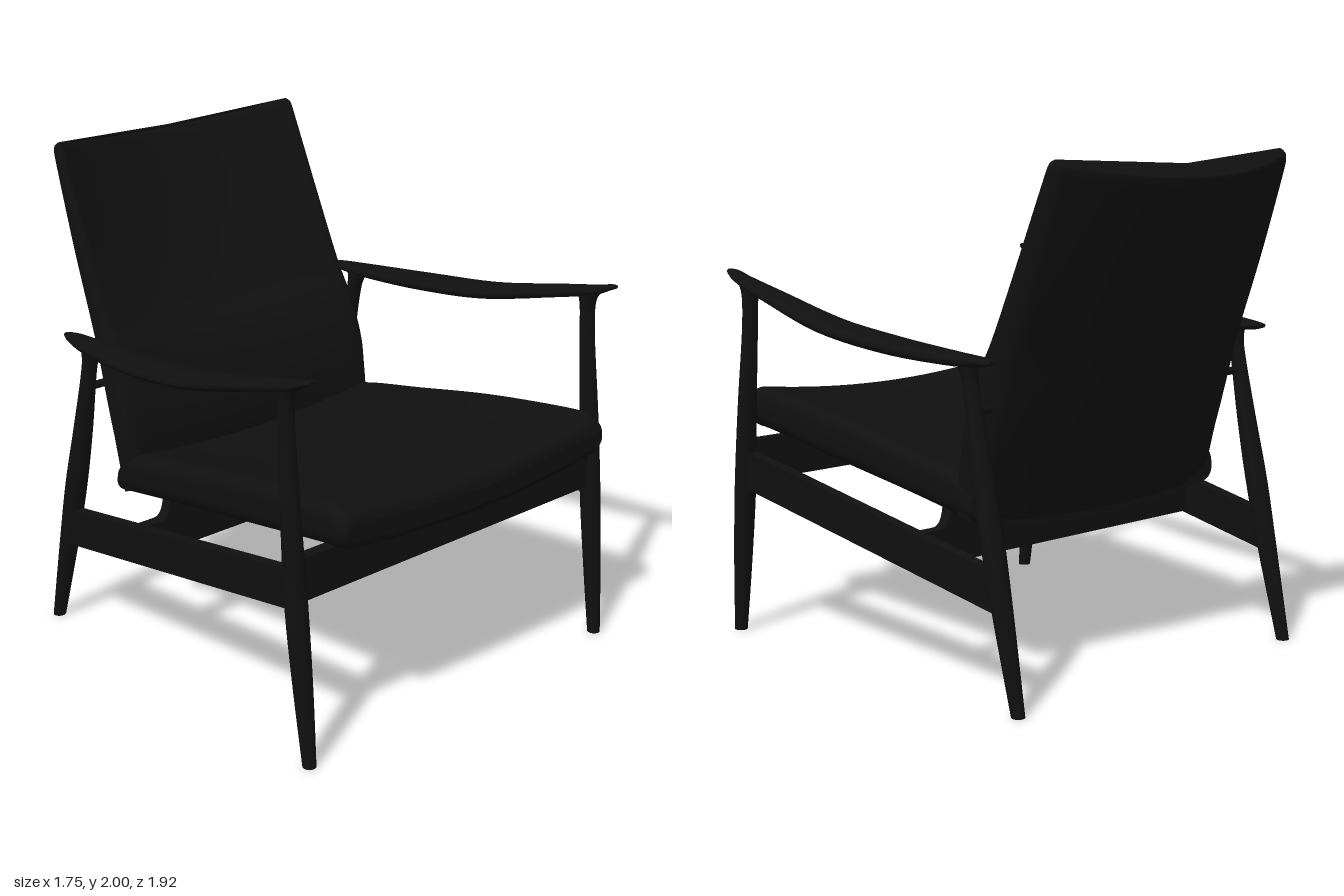
import * as THREE from 'three';

const material = new THREE.MeshStandardMaterial({ color: 0x101010 });

// Smoothly resample rows of numbers (Catmull-Rom on every column)
function smoothRows(rows, steps) {
  const out = [];
  const at = i => rows[Math.min(rows.length - 1, Math.max(0, i))];
  for (let i = 0; i < rows.length - 1; i++) {
    for (let s = 0; s < steps; s++) {
      const t = s / steps;
      out.push(rows[i].map((_, k) => {
        const [a, b, c, d] = [at(i - 1)[k], at(i)[k], at(i + 1)[k], at(i + 2)[k]];
        return b + 0.5 * t * (c - a + t * (2 * a - 5 * b + 4 * c - d + t * (3 * (b - c) + d - a)));
      }));
    }
  }
  out.push(rows[rows.length - 1]);
  return out;
}

// Skin a list of rings of [x, y, z] and close both ends with flat caps
function loft(rings) {
  const n = rings[0].length, pos = [], idx = [];
  rings.forEach(r => r.forEach(p => pos.push(...p)));
  for (let i = 0; i < rings.length - 1; i++) {
    for (let j = 0; j < n; j++) {
      const a = i * n + j, b = i * n + (j + 1) % n;
      idx.push(a, b, a + n, b, b + n, a + n);
    }
  }
  [rings[0], rings[rings.length - 1]].forEach((ring, end) => {
    const base = pos.length / 3;
    ring.forEach(p => pos.push(...p));
    pos.push(...[0, 1, 2].map(k => ring.reduce((s, p) => s + p[k], 0) / n));
    for (let j = 0; j < n; j++) {
      const a = base + j, b = base + (j + 1) % n;
      idx.push(...(end ? [a, b, base + n] : [b, a, base + n]));
    }
  });
  // Turn the faces outwards if the enclosed volume is negative
  const P = i => new THREE.Vector3().fromArray(pos, i * 3);
  let volume = 0;
  for (let i = 0; i < idx.length; i += 3) volume += P(idx[i]).dot(P(idx[i + 1]).cross(P(idx[i + 2])));
  if (volume < 0) idx.reverse();
  const g = new THREE.BufferGeometry();
  g.setAttribute('position', new THREE.Float32BufferAttribute(pos, 3));
  g.setIndex(idx);
  g.computeVertexNormals();
  return g;
}

// Outline of a rounded bar: u across (-1..1), v through the thickness (0..1)
function padOutline(halfWidth, thickness) {
  const r = Math.min(0.06, thickness * 0.42), pts = [];
  const corner = (sx, sy, a0) => {
    for (let k = 0; k <= 6; k++) {
      const a = a0 + k / 6 * Math.PI / 2;
      pts.push([sx * (halfWidth - r) + r * Math.cos(a), sy * (thickness / 2 - r) + r * Math.sin(a)]);
    }
  };
  const edge = s => {
    for (let k = 1; k < 20; k++) pts.push([s * (halfWidth - r) * (1 - k / 10), s * thickness / 2]);
  };
  corner(1, 1, 0); edge(1); corner(-1, 1, Math.PI / 2);
  corner(-1, -1, Math.PI); edge(-1); corner(1, -1, Math.PI * 1.5);
  return pts.map(([x, y]) => [x / halfWidth, 0.5 - y / thickness]);
}

// Hollowed cushion; row: face z, face y, rear z, rear y, half width, face sag, rear sag
function cushion(rows) {
  return loft(smoothRows(rows, 5).map(([az, ay, bz, by, w, sagA, sagB]) => {
    const t = Math.hypot(bz - az, by - ay), nz = (bz - az) / t, ny = (by - ay) / t;
    return padOutline(w, t).map(([u, v]) => {
      const d = v * t + (sagA + (sagB - sagA) * v) * (1 - u * u);
      return [u * w, ay + ny * d, az + nz * d];
    });
  }));
}

const angles = Array.from({ length: 20 }, (_, i) => i / 20 * Math.PI * 2);

// Tapered leg; row: y, x, z, half width in x, half depth in z
const leg = rows => loft(smoothRows(rows, 5).map(([y, x, z, rx, rz]) =>
  angles.map(a => [x + rx * Math.cos(a), y, z + rz * Math.sin(a)])));

// Armrest; row: z, inner x, outer x, top y, bottom y
const arm = rows => loft(smoothRows(rows, 5).map(([z, x0, x1, y1, y0]) =>
  angles.map(a => [(x0 + x1) / 2 + (x1 - x0) / 2 * Math.cos(a),
    (y0 + y1) / 2 + (y1 - y0) / 2 * Math.sin(a), z])));

export function createModel() {
  const model = new THREE.Group();
  const add = (name, geometry, parent = model) => {
    const mesh = new THREE.Mesh(geometry, material);
    mesh.name = name;
    parent.add(mesh);
    return mesh;
  };

  // Seat cushion, rounded nose first
  add('seatCushion', cushion([
    [0.96, 0.945, 0.96, 0.885, 0.69, 0.055, 0.055],
    [0.945, 0.985, 0.94, 0.855, 0.705, 0.055, 0.055],
    [0.91, 1.003, 0.9, 0.845, 0.712, 0.055, 0.055],
    [0.82, 1.01, 0.8, 0.835, 0.71, 0.055, 0.055],
    [0.4, 0.958, 0.38, 0.77, 0.695, 0.055, 0.055],
    [0, 0.885, -0.02, 0.71, 0.68, 0.055, 0.055],
    [-0.32, 0.825, -0.34, 0.655, 0.665, 0.055, 0.055],
    [-0.4, 0.77, -0.42, 0.64, 0.655, 0.055, 0.055],
  ]));

  // Back cushion with lumbar swell, from bottom to top
  add('backCushion', cushion([
    [-0.3, 0.68, -0.39, 0.645, 0.655, 0.05, 0.07],
    [-0.315, 0.85, -0.43, 0.8, 0.66, 0.02, 0.09],
    [-0.335, 1.02, -0.475, 0.95, 0.66, 0.03, 0.11],
    [-0.4, 1.21, -0.535, 1.14, 0.652, 0.05, 0.12],
    [-0.48, 1.35, -0.585, 1.3, 0.645, 0.09, 0.125],
    [-0.6, 1.62, -0.69, 1.58, 0.635, 0.13, 0.13],
    [-0.73, 1.92, -0.795, 1.89, 0.622, 0.15, 0.15],
    [-0.762, 1.985, -0.815, 1.965, 0.617, 0.155, 0.155],
    [-0.785, 2.0, -0.812, 1.987, 0.602, 0.155, 0.155],
  ]));

  // Front rail between the front legs
  add('frontRail', new THREE.BoxGeometry(1.56, 0.17, 0.05)).position.set(0, 0.725, 0.805);

  // Cross rail that rises in the middle to carry the seat
  const rail = new THREE.Shape();
  rail.moveTo(-0.73, 0.45);
  rail.lineTo(0.73, 0.45);
  rail.lineTo(0.73, 0.585);
  rail.lineTo(0.635, 0.585);
  rail.quadraticCurveTo(0.59, 0.585, 0.585, 0.675);
  rail.quadraticCurveTo(0, 0.58, -0.585, 0.675);
  rail.quadraticCurveTo(-0.59, 0.585, -0.635, 0.585);
  rail.lineTo(-0.73, 0.585);
  rail.closePath();
  add('crossRail', new THREE.ExtrudeGeometry(rail, { depth: 0.05, bevelEnabled: false, curveSegments: 16 }))
    .position.z = -0.21;

  // Side frames, mirrored through the row values
  for (const side of [1, -1]) {
    const frame = new THREE.Group();
    frame.name = side > 0 ? 'leftFrame' : 'rightFrame';
    model.add(frame);

    add('frontLeg', leg([
      [0, 0.8, 0.882, 0.026, 0.026],
      [0.3, 0.803, 0.852, 0.039, 0.034],
      [0.62, 0.806, 0.82, 0.045, 0.04],
      [0.95, 0.807, 0.793, 0.04, 0.035],
      [1.25, 0.803, 0.769, 0.034, 0.028],
      [1.39, 0.802, 0.763, 0.034, 0.03],
      [1.45, 0.802, 0.765, 0.036, 0.055],
    ].map(([y, x, ...r]) => [y, side * x, ...r])), frame);

    add('rearLeg', leg([
      [0, 0.732, -0.745, 0.026, 0.026],
      [0.38, 0.727, -0.655, 0.042, 0.037],
      [0.65, 0.724, -0.594, 0.046, 0.043],
      [0.9, 0.721, -0.538, 0.04, 0.037],
      [1.12, 0.72, -0.493, 0.032, 0.03],
      [1.21, 0.72, -0.475, 0.034, 0.031],
      [1.27, 0.725, -0.465, 0.036, 0.05],
    ].map(([y, x, ...r]) => [y, side * x, ...r])), frame);

    add('armrest', arm([
      [0.9, 0.79, 0.815, 1.5, 1.487],
      [0.87, 0.768, 0.832, 1.498, 1.473],
      [0.8, 0.757, 0.845, 1.48, 1.44],
      [0.6, 0.738, 0.862, 1.437, 1.385],
      [0.25, 0.71, 0.877, 1.363, 1.3],
      [-0.1, 0.695, 0.86, 1.325, 1.26],
      [-0.4, 0.69, 0.81, 1.302, 1.248],
      [-0.55, 0.693, 0.77, 1.292, 1.255],
      [-0.61, 0.717, 0.745, 1.285, 1.268],
    ].map(([z, a, b, ...y]) => [z, side * a, side * b, ...y])), frame);

    // Sloping side rail joining the legs
    const sideRail = new THREE.BoxGeometry(0.045, 0.155, 1.44);
    const p = sideRail.attributes.position;
    for (let i = 0; i < p.count; i++) {
      const t = p.getZ(i) / 1.44;
      p.setXYZ(i, p.getX(i) + side * (0.762 + 0.07 * t), p.getY(i) + 0.565 + 0.247 * t, p.getZ(i) + 0.08);
    }
    sideRail.computeVertexNormals();
    add('sideRail', sideRail, frame);

    // Pin holding the backrest
    const pin = add('backPin', new THREE.CylinderGeometry(0.016, 0.016, 0.13, 16), frame);
    pin.rotation.z = Math.PI / 2;
    pin.position.set(side * 0.66, 1.085, -0.49);
  }
  return model;
}
